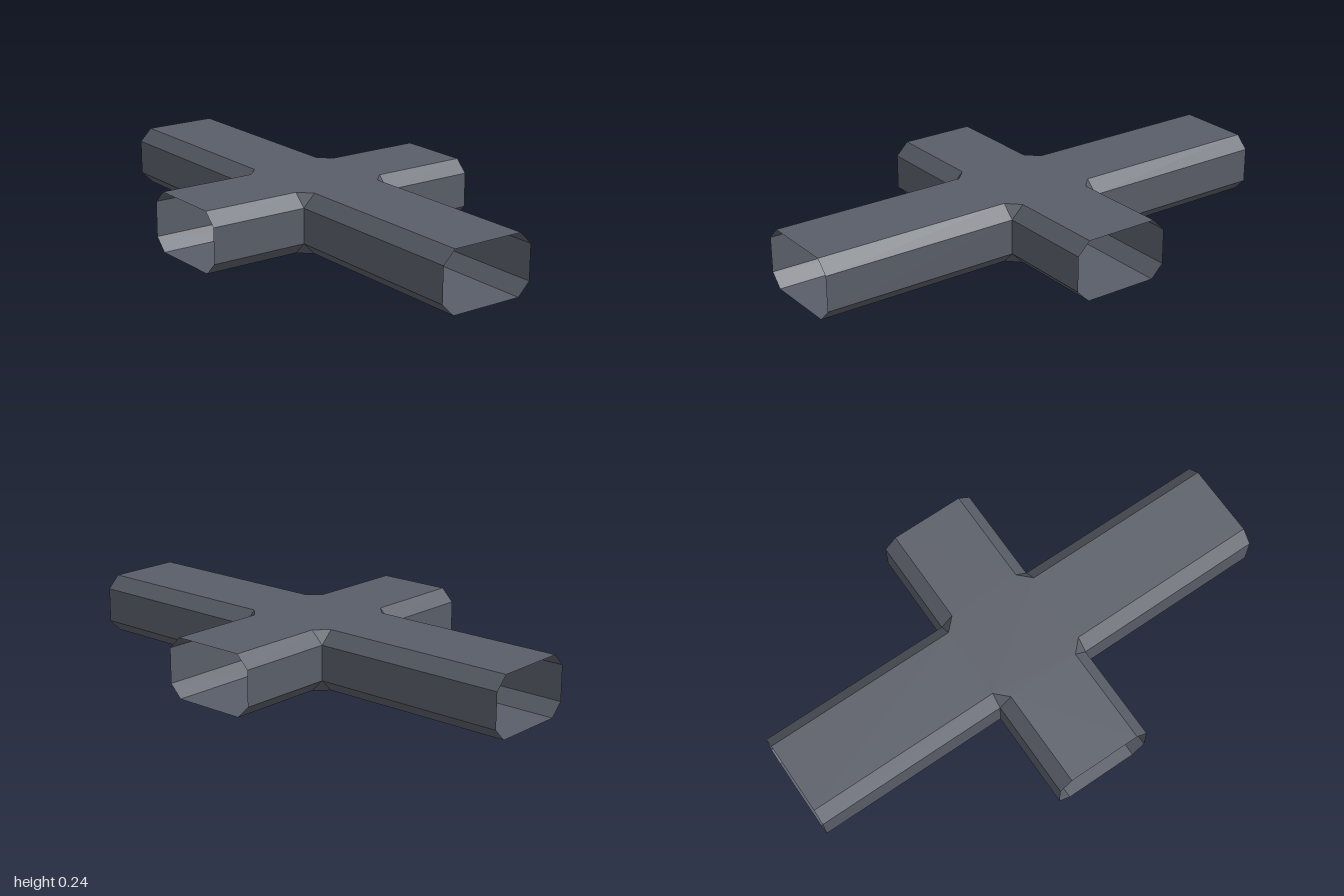
import * as THREE from 'three';

const ARM_X = 0.6, ARM_Z = 1, HALF = 0.2, CUT = 0.05, HEIGHT = 0.24;
const QUADRANTS = [[1, 1], [-1, 1], [-1, -1], [1, -1]];

// One inner corner of the cross, as [x, z] points from the side arm's end to the long arm's end.
function cornerPath(inset, sx, sz) {
  const w = HALF - inset;
  const path = [[ARM_X, w], [HALF, w], [w, HALF], [w, ARM_Z]].map(([x, z]) => [x * sx, z * sz]);
  return sx * sz > 0 ? path : path.reverse();
}

// Bevelled wall that follows one inner corner.
function wallGeometry(sx, sz) {
  const rings = [[0, CUT], [CUT, 0], [HEIGHT - CUT, 0], [HEIGHT, CUT]].map(([y, inset]) =>
    cornerPath(inset, sx, sz).map(([x, z]) => new THREE.Vector3(x, y, z)));
  const points = [];
  const triangle = (a, b, c) => {
    if (!a.equals(b) && !b.equals(c) && !c.equals(a)) points.push(a, b, c);
  };
  for (let r = 0; r < 3; r++) {
    for (let i = 0; i < 3; i++) {
      const a = rings[r][i], b = rings[r][i + 1], c = rings[r + 1][i + 1], d = rings[r + 1][i];
      triangle(a, d, b);
      triangle(b, d, c);
    }
  }
  const geometry = new THREE.BufferGeometry().setFromPoints(points);
  geometry.computeVertexNormals();
  return geometry;
}

export function createModel() {
  const group = new THREE.Group();
  group.name = 'crossDuct';
  const material = new THREE.MeshStandardMaterial({
    color: 0x5a5e68, flatShading: true, side: THREE.DoubleSide,
  });
  const add = (name, geometry) => {
    const mesh = new THREE.Mesh(geometry, material);
    mesh.name = name;
    group.add(mesh);
    return mesh;
  };

  // Cross-shaped roof and floor plates; the four arm ends stay open.
  const outline = QUADRANTS.flatMap(([sx, sz]) => cornerPath(CUT, sx, sz));
  const plate = new THREE.Shape(outline.map(([x, z]) => new THREE.Vector2(x, z)));
  add('roof', new THREE.ShapeGeometry(plate).rotateX(-Math.PI / 2)).position.y = HEIGHT;
  add('floor', new THREE.ShapeGeometry(plate).rotateX(Math.PI / 2));

  // Bevelled walls between neighbouring arms.
  for (const [sx, sz] of QUADRANTS) {
    add(`${sz > 0 ? 'front' : 'back'}${sx > 0 ? 'Left' : 'Right'}Wall`, wallGeometry(sx, sz));
  }
  return group;
}
